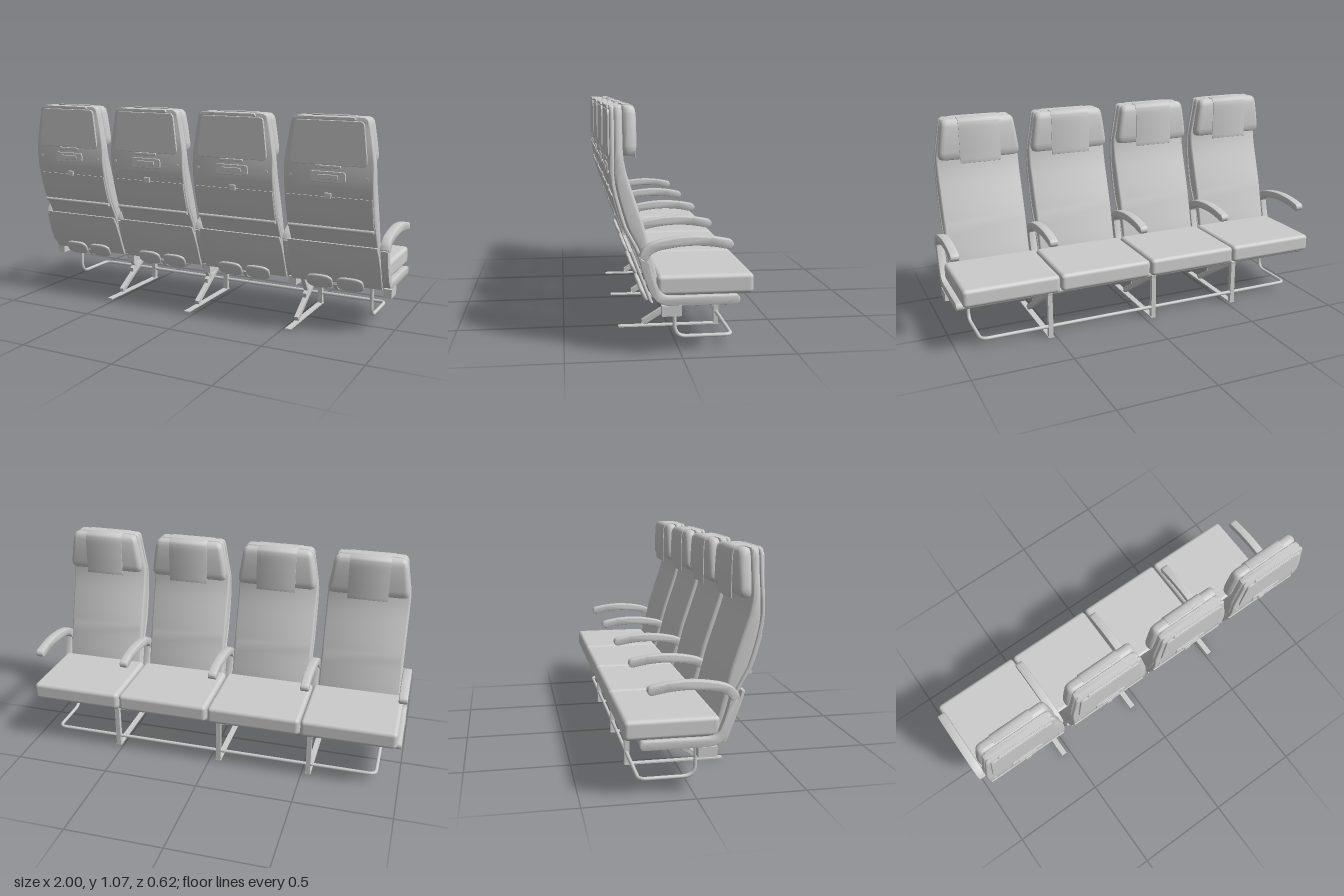
import * as THREE from 'three';
import { toCreasedNormals } from 'three/addons/utils/BufferGeometryUtils.js';
import { RoundedBoxGeometry } from 'three/addons/geometries/RoundedBoxGeometry.js';

const material = new THREE.MeshStandardMaterial({ color: 0xcccccc });

function add(parent, name, geometry, x = 0, y = 0, z = 0) {
  const mesh = new THREE.Mesh(geometry, material);
  mesh.name = name;
  mesh.position.set(x, y, z);
  parent.add(mesh);
  return mesh;
}

// Upright body from rounded sections; rows run upward: [y, zFront, zRear, halfWidth]
function loft(rows, radius) {
  const pos = [], index = [], per = 5, n = per * 4;
  rows.forEach(([y, z0, z1, w]) => {
    const r = Math.min(radius, (z1 - z0) / 2.01, w / 2);
    for (let q = 0; q < 4; q++) for (let k = 0; k < per; k++) {
      const a = (q + k / (per - 1)) * Math.PI / 2;
      const sx = q === 0 || q === 3 ? 1 : -1, sz = q < 2 ? 1 : -1;
      pos.push(sx * (w - r) + r * Math.cos(a), y,
        (z0 + z1) / 2 + sz * ((z1 - z0) / 2 - r) + r * Math.sin(a));
    }
  });
  const last = rows.length - 1;
  for (let i = 0; i < last; i++) for (let j = 0; j < n; j++) {
    const a = i * n + j, b = i * n + (j + 1) % n;
    index.push(a, a + n, b, b, a + n, b + n);
  }
  for (let j = 1; j < n - 1; j++) {
    index.push(0, j, j + 1, last * n, last * n + j + 1, last * n + j);
  }
  const g = new THREE.BufferGeometry();
  g.setAttribute('position', new THREE.Float32BufferAttribute(pos, 3));
  g.setIndex(index);
  return toCreasedNormals(g, 0.6);
}

// Side-view strip along [z, y] points, with round ends, extruded across x
function ribbon(points, thickness, width, bevel = 0.003, steps = 28) {
  const curve = new THREE.SplineCurve(points.map(p => new THREE.Vector2(...p)));
  const r = thickness / 2 - bevel, left = [], right = [];
  const offset = (p, a) => new THREE.Vector2(p.x + r * Math.cos(a), p.y + r * Math.sin(a));
  for (let i = 0; i <= steps; i++) {
    const p = curve.getPoint(i / steps), t = curve.getTangent(i / steps);
    const a = Math.atan2(t.y, t.x);
    left.push(offset(p, a + Math.PI / 2));
    right.unshift(offset(p, a - Math.PI / 2));
    if (i === 0) for (let k = 5; k > 0; k--) left.unshift(offset(p, a + Math.PI / 2 + k * Math.PI / 6));
    if (i === steps) for (let k = 1; k < 6; k++) left.push(offset(p, a + Math.PI / 2 - k * Math.PI / 6));
  }
  const depth = width - 2 * bevel;
  const g = new THREE.ExtrudeGeometry(new THREE.Shape([...left, ...right]),
    { depth, bevelThickness: bevel, bevelSize: bevel, bevelSegments: 2 });
  g.translate(0, 0, -depth / 2).rotateY(-Math.PI / 2);
  return toCreasedNormals(g, 0.6);
}

// Rounded plate outline with its own top and bottom half widths
function plate(wBottom, wTop, h, r, depth) {
  const s = new THREE.Shape();
  s.moveTo(-wBottom + r, 0).lineTo(wBottom - r, 0).quadraticCurveTo(wBottom, 0, wBottom, r);
  s.lineTo(wTop, h - r).quadraticCurveTo(wTop, h, wTop - r, h).lineTo(r - wTop, h);
  s.quadraticCurveTo(-wTop, h, -wTop, h - r).lineTo(-wBottom, r).quadraticCurveTo(-wBottom, 0, r - wBottom, 0);
  return new THREE.ExtrudeGeometry(s, { depth, bevelThickness: 0.002, bevelSize: 0.002, bevelSegments: 1, curveSegments: 6 });
}

function rod(parent, name, r, length, y, z) {
  add(parent, name, new THREE.CylinderGeometry(r, r, length, 20).rotateZ(Math.PI / 2), 0, y, z);
}

// Back profile: [y, zFront, zRear, halfWidth]
const BACK = [
  [0.27, 0.092, 0.125, 0.218], [0.32, 0.097, 0.14, 0.218], [0.4, 0.116, 0.17, 0.218],
  [0.477, 0.136, 0.205, 0.218], [0.53, 0.149, 0.234, 0.218], [0.562, 0.158, 0.25, 0.218],
  [0.62, 0.177, 0.268, 0.218], [0.69, 0.2, 0.287, 0.218], [0.74, 0.217, 0.297, 0.218],
  [0.79, 0.232, 0.302, 0.218], [0.84, 0.242, 0.301, 0.218], [0.87, 0.245, 0.3, 0.216],
  [0.95, 0.246, 0.299, 0.202], [1.02, 0.246, 0.299, 0.19], [1.045, 0.246, 0.299, 0.186],
  [1.058, 0.247, 0.299, 0.18], [1.065, 0.25, 0.299, 0.168],
];

function createSeat() {
  const seat = new THREE.Group();
  seat.name = 'seat';
  add(seat, 'seatCushion', new RoundedBoxGeometry(0.482, 0.09, 0.418, 4, 0.02), 0, 0.311, -0.102);
  add(seat, 'seatPan', new THREE.BoxGeometry(0.44, 0.012, 0.34), 0, 0.262, -0.07);
  add(seat, 'backCushion', loft(BACK.map(([y, a, b, w]) => [y, a, b - 0.017, w - 0.002]), 0.014));
  add(seat, 'backShell', loft(BACK.map(([y, a, b, w]) => [y, b - 0.0185, b, w]), 0.008));

  // Headrest with a cloth over the middle
  add(seat, 'headrest', loft([
    [0.858, 0.208, 0.236, 0.19], [0.863, 0.196, 0.245, 0.203], [0.878, 0.189, 0.248, 0.209],
    [0.9, 0.187, 0.248, 0.208], [0.97, 0.187, 0.247, 0.198], [1.03, 0.188, 0.247, 0.188],
    [1.05, 0.192, 0.246, 0.184], [1.061, 0.2, 0.243, 0.176], [1.066, 0.212, 0.235, 0.165],
  ], 0.024));
  add(seat, 'headrestCloth', ribbon([[0.24, 1.067], [0.213, 1.067], [0.194, 1.058], [0.186, 1.03],
    [0.184, 0.95], [0.184, 0.89], [0.184, 0.842]], 0.004, 0.21, 0.0005));

  // Rear of the shell: screen panel, handle, tray and its latch
  add(seat, 'screenPanel', plate(0.183, 0.165, 0.2, 0.022, 0.008), 0, 0.847, 0.298);
  add(seat, 'screenLip', plate(0.06, 0.06, 0.01, 0.004, 0.006), 0, 0.832, 0.3);
  add(seat, 'topTrim', plate(0.125, 0.12, 0.012, 0.003, 0.008), 0, 1.052, 0.298);
  add(seat, 'handlePlate', plate(0.085, 0.085, 0.048, 0.014, 0.006), 0, 0.766, 0.2985);
  add(seat, 'handleGrip', plate(0.05, 0.05, 0.02, 0.008, 0.004), 0, 0.78, 0.304);
  const tray = BACK.filter(r => r[0] >= 0.53 && r[0] <= 0.69);
  add(seat, 'trayTable', loft(tray.map(([y, , b]) => [y + 0.006, b - 0.004, b + 0.007, 0.212]), 0.004));
  add(seat, 'trayLatch', new RoundedBoxGeometry(0.035, 0.03, 0.012, 2, 0.004), 0, 0.7, 0.292);
  rod(seat, 'trayHinge', 0.01, 0.42, 0.537, 0.242);
  for (const s of [-1, 1]) {
    add(seat, 'coatButton', new THREE.CylinderGeometry(0.008, 0.008, 0.01, 16).rotateX(Math.PI / 2), s * 0.185, 0.79, 0.301);
    const pod = add(seat, 'footPad', new THREE.SphereGeometry(1, 24, 14), s * 0.078, 0.248, 0.153);
    // Superellipse padding, taller toward the middle of the pad
    const p = pod.geometry.attributes.position;
    for (let i = 0; i < p.count; i++) {
      const f = v => Math.sign(v) * Math.pow(Math.abs(v), 0.65);
      p.setXYZ(i, f(p.getX(i)) * 0.068, f(p.getY(i)) * 0.039, f(p.getZ(i)) * 0.011);
    }
    pod.geometry.computeVertexNormals();
    pod.rotation.x = 0.42;
  }
  // Lower rear cover and foot-pad bracket
  add(seat, 'lowerCover', loft([[0.238, 0.122, 0.136, 0.232], [0.255, 0.131, 0.146, 0.232],
    [0.34, 0.163, 0.178, 0.232], [0.42, 0.192, 0.208, 0.228], [0.458, 0.207, 0.221, 0.222]], 0.006));
  add(seat, 'footPadBracket', ribbon([[0.145, 0.24], [0.12, 0.212], [0.07, 0.197], [0, 0.197],
    [-0.04, 0.208], [-0.075, 0.232]], 0.011, 0.02));
  return seat;
}

function createArm() {
  const arm = new THREE.Group();
  arm.name = 'arm';
  add(arm, 'armrest', ribbon([[0.165, 0.44], [0.15, 0.465], [0.11, 0.486], [0.03, 0.501],
    [-0.05, 0.506], [-0.13, 0.5], [-0.194, 0.488]], 0.04, 0.044, 0.006));
  add(arm, 'sideSpar', ribbon([[0.165, 0.44], [0.15, 0.38], [0.128, 0.315], [0.105, 0.273], [0.06, 0.25],
    [-0.05, 0.249], [-0.14, 0.249], [-0.227, 0.249]], 0.04, 0.036, 0.004));
  add(arm, 'sparMount', new THREE.BoxGeometry(0.04, 0.045, 0.085), 0, 0.208, 0.047);
  return arm;
}

function createLeg() {
  const leg = new THREE.Group();
  leg.name = 'leg';
  add(leg, 'floorTrack', new THREE.BoxGeometry(0.03, 0.006, 0.485), 0, 0.003, -0.002);
  add(leg, 'frontLeg', new THREE.BoxGeometry(0.024, 0.24, 0.024), 0, 0.124, -0.232);
  add(leg, 'diagonalBrace', ribbon([[0.12, 0.021], [-0.232, 0.238]], 0.028, 0.024, 0.003, 2));
  add(leg, 'rearBrace', ribbon([[-0.03, 0.12], [0.035, 0.215]], 0.03, 0.022, 0.003, 2));
  add(leg, 'braceGusset', ribbon([[0.005, 0.105], [-0.07, 0.15]], 0.05, 0.02, 0.003, 2));
  return leg;
}

export function createModel() {
  const model = new THREE.Group();
  model.name = 'seatRow';
  for (const x of [-0.733, -0.246, 0.244, 0.733]) {
    const seat = createSeat();
    seat.position.x = x;
    model.add(seat);
  }
  for (const x of [-0.978, -0.49, -0.005, 0.487, 0.978]) {
    const arm = createArm();
    arm.position.x = x;
    model.add(arm);
  }
  for (const x of [-0.535, -0.048, 0.527]) {
    const leg = createLeg();
    leg.position.x = x;
    model.add(leg);
  }
  // Cross beams joining the seats
  rod(model, 'frontBeam', 0.017, 1.94, 0.247, -0.226);
  rod(model, 'rearBeam', 0.017, 1.94, 0.236, 0.045);

  // Luggage rail: drops at each end, bends forward, then runs across the front
  const rail = new THREE.CurvePath(), v = (x, y, z) => new THREE.Vector3(x, y, z);
  const path = [v(-0.883, 0.235, 0.02), v(-0.883, 0.06, 0.02), v(-0.883, 0.06, -0.234),
    v(0.883, 0.06, -0.234), v(0.883, 0.06, 0.02), v(0.883, 0.235, 0.02)];
  let from = path[0];
  for (let i = 1; i < 5; i++) {
    const r = i === 1 || i === 4 ? 0.055 : 0.035;
    const a = path[i].clone().add(path[i - 1].clone().sub(path[i]).setLength(r));
    const b = path[i].clone().add(path[i + 1].clone().sub(path[i]).setLength(r));
    rail.add(new THREE.LineCurve3(from, a));
    rail.add(new THREE.QuadraticBezierCurve3(a, path[i], b));
    from = b;
  }
  rail.add(new THREE.LineCurve3(from, path[5]));
  add(model, 'luggageRail', new THREE.TubeGeometry(rail, 240, 0.009, 12));
  return model;
}
